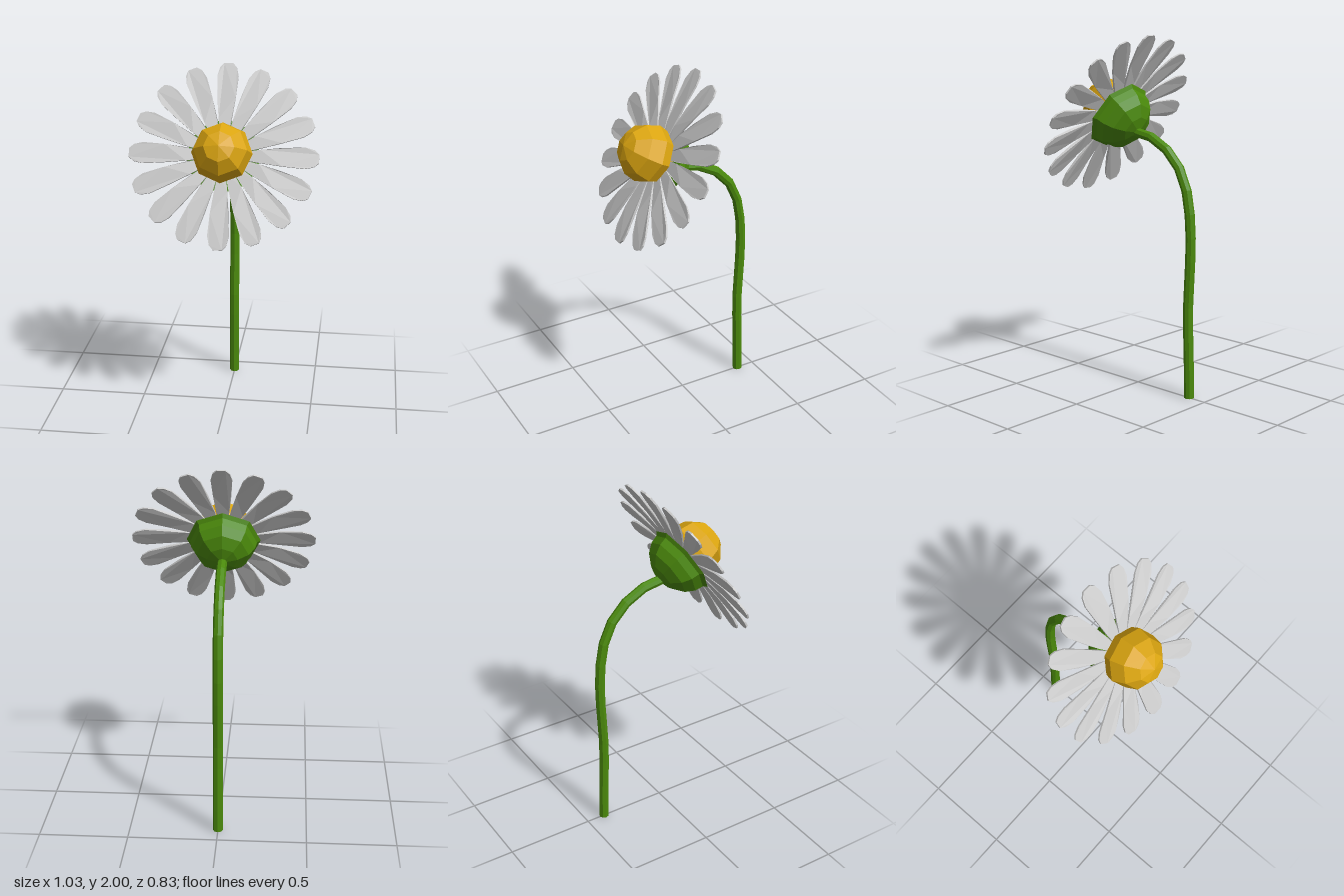
import * as THREE from 'three';

const material = (color) =>
  new THREE.MeshStandardMaterial({ color, flatShading: true, side: THREE.DoubleSide });

function part(name, geometry, mat, parent) {
  const mesh = new THREE.Mesh(geometry, mat);
  mesh.name = name;
  parent.add(mesh);
  return mesh;
}

// Thin petal pointing along +y, gently arched along its length
function petalGeometry() {
  const side = [[0.1, 0.02], [0.2, 0.036], [0.32, 0.05], [0.44, 0.058], [0.49, 0.046], [0.515, 0.024]];
  const outline = [
    ...side.map(([r, w]) => new THREE.Vector2(w, r)),
    ...side.map(([r, w]) => new THREE.Vector2(-w, r)).reverse(),
  ];
  const geo = new THREE.ExtrudeGeometry(new THREE.Shape(outline), { depth: 0.01, bevelEnabled: false });
  const pos = geo.attributes.position;
  for (let i = 0; i < pos.count; i++) {
    const t = (pos.getY(i) - 0.1) / 0.415;
    pos.setZ(i, pos.getZ(i) - 0.006 + 0.012 * Math.sin(Math.PI * t) - 0.004 * t);
  }
  geo.computeVertexNormals();
  return geo;
}

export function createModel() {
  const group = new THREE.Group();
  group.name = 'flower';
  const green = material(0x4b8a0c);
  const yellow = material(0xdba510);
  const grey = material(0xcccccc);

  // Stem: upright, then arching forward into the flower head
  const path = new THREE.CatmullRomCurve3(
    [[0, -0.391], [0.2, -0.386], [0.5, -0.377], [0.8, -0.39], [1.02, -0.386], [1.22, -0.343],
      [1.345, -0.26], [1.435, -0.125], [1.465, 0.03]].map(([y, z]) => new THREE.Vector3(0, y, z)));
  part('stem', new THREE.TubeGeometry(path, 13, 0.028, 8), green, group);
  const cap = part('stemBase', new THREE.CircleGeometry(0.028, 8), green, group);
  cap.rotation.x = Math.PI / 2;
  cap.position.set(0, 0.001, -0.391);

  // Flower head, tilted upward; local +z is the way it faces
  const head = new THREE.Group();
  head.name = 'flowerHead';
  head.position.set(0, 1.555, 0.16);
  head.rotation.x = -0.512;
  group.add(head);

  // Petals
  const petal = petalGeometry();
  for (let i = 0; i < 16; i++) {
    part('petal', petal, grey, head).rotation.z = (i * Math.PI) / 8;
  }

  // Yellow centre
  const centre = part('centre', new THREE.SphereGeometry(0.165, 8, 6), yellow, head);
  centre.rotation.x = Math.PI / 2;
  centre.position.z = 0.063;

  // Green cup behind the petals, with a small flared rim
  const profile = [[0, -0.19], [0.085, -0.165], [0.145, -0.125], [0.178, -0.075], [0.188, -0.03],
    [0.208, -0.012], [0.19, -0.01], [0, -0.01]].map(([r, y]) => new THREE.Vector2(r, y));
  const cup = part('cup', new THREE.LatheGeometry(profile, 8), green, head);
  cup.rotation.x = Math.PI / 2;

  return group;
}
